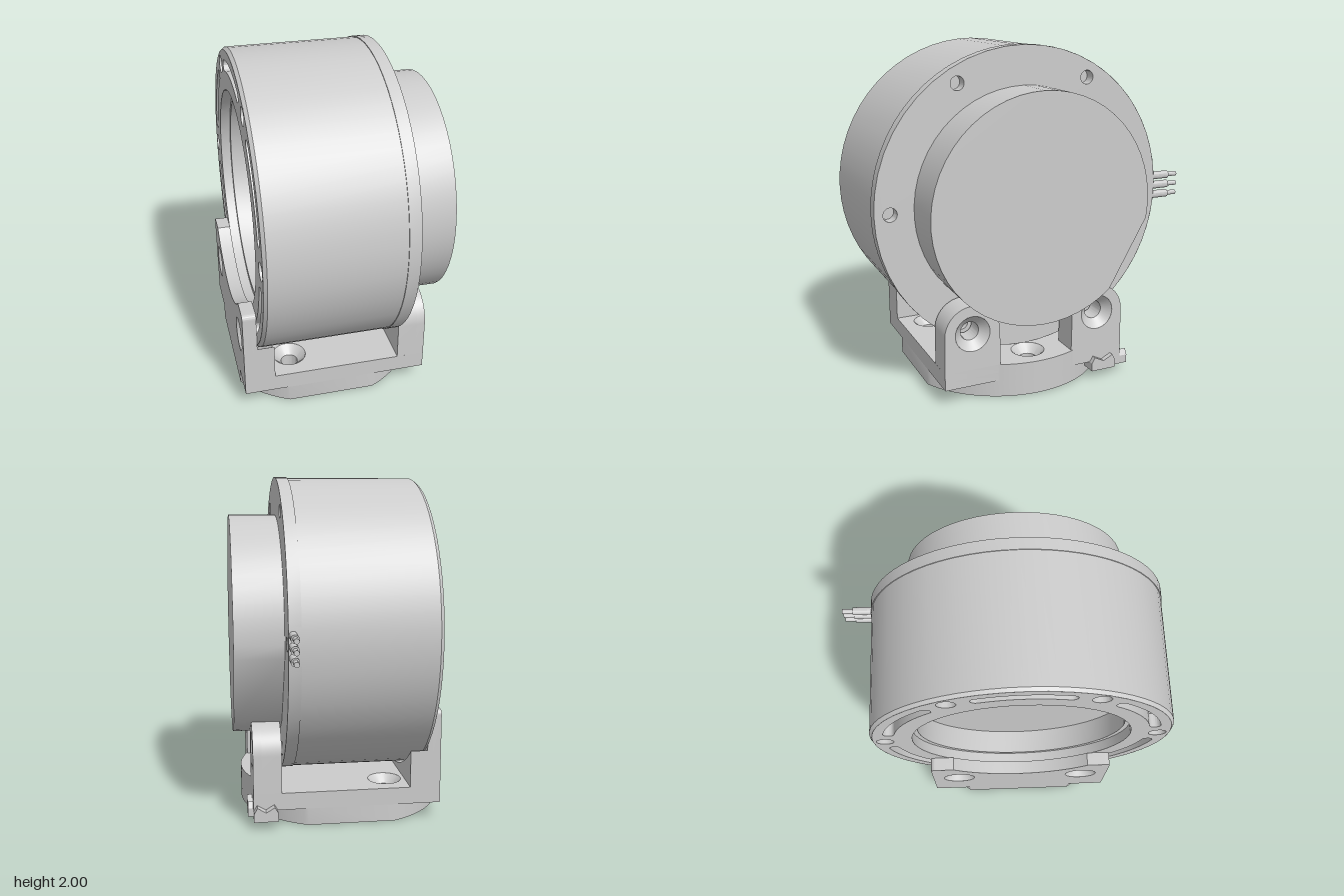
import * as THREE from 'three';
import { toCreasedNormals } from 'three/addons/utils/BufferGeometryUtils.js';

const material = new THREE.MeshStandardMaterial({ color: 0xcccccc, side: THREE.DoubleSide });
const AXIS = 1.11;            // height of the drum axis
const BOLT_R = 0.8;           // bolt circle radius
const LUG_Z = 0.4, LUG_Y = AXIS - 0.693;

function add(parent, name, geometry) {
  const mesh = new THREE.Mesh(toCreasedNormals(geometry, 0.5), material);
  mesh.name = name;
  parent.add(mesh);
  return mesh;
}

const extrude = (shape, depth) =>
  new THREE.ExtrudeGeometry(shape, { depth, bevelEnabled: false, curveSegments: 24 });

// Outline drawn in (-z, y), thickened along +x from x0
const plateX = (shape, x0, x1) => extrude(shape, x1 - x0).rotateY(Math.PI / 2).translate(x0, 0, 0);

// Outline drawn in (x, -z), thickened upwards from y0
const plateY = (shape, y0, y1) => extrude(shape, y1 - y0).rotateX(-Math.PI / 2).translate(0, y0, 0);

// Profile of [radius, x] turned about the x axis
const turnX = (profile, sides = 64) =>
  new THREE.LatheGeometry(profile.map(p => new THREE.Vector2(...p)), sides).rotateZ(-Math.PI / 2);

const circle = (x, y, r) => new THREE.Path().absarc(x, y, r, 0, Math.PI * 2, true);

function ring(outer, inner) {
  const s = new THREE.Shape().absarc(0, 0, outer, 0, Math.PI * 2, false);
  if (inner) s.holes.push(circle(0, 0, inner));
  return s;
}

// Curved slot with round ends
function slot(mid, half) {
  const r = 0.778, w = 0.032, a = mid - half, b = mid + half;
  const p = new THREE.Path();
  p.absarc(0, 0, r + w, a, b, false);
  p.absarc(r * Math.cos(b), r * Math.sin(b), w, b, b + Math.PI, false);
  p.absarc(0, 0, r - w, b, a, true);
  p.absarc(r * Math.cos(a), r * Math.sin(a), w, a + Math.PI, a + Math.PI * 2, false);
  return p;
}

function buildDrum() {
  const drum = new THREE.Group();
  drum.name = 'drum';
  drum.position.y = AXIS;

  add(drum, 'drumShell', turnX([[0.87, -0.52], [0.885, -0.5], [0.885, 0.25], [0.89, 0.25], [0.89, 0.32]]));

  // Slotted and drilled open face, and drilled flange on the other end
  const openFace = ring(0.87, 0.64), flange = ring(0.89);
  for (let i = 0; i < 6; i++) {
    const a = i * Math.PI / 3, x = BOLT_R * Math.cos(a), y = BOLT_R * Math.sin(a);
    openFace.holes.push(circle(x, y, 0.052), slot(a + Math.PI / 6, 0.32));
    flange.holes.push(circle(x, y, 0.04));
  }
  add(drum, 'openFaceRing', plateX(openFace, -0.52, -0.44));
  add(drum, 'openFaceBacking', plateX(ring(0.88, 0.64), -0.44, -0.42));
  add(drum, 'flange', plateX(flange, 0.25, 0.32));
  add(drum, 'flangeBacking', plateX(ring(0.88), 0.23, 0.25));
  add(drum, 'recess', turnX([[0.64, -0.52], [0.64, -0.46], [0.61, -0.46], [0.61, -0.32], [0, -0.32]]));

  // Round housing with one flat
  const boss = new THREE.Shape().absarc(0, 0, 0.665, -0.16, -0.885 + Math.PI * 2, false);
  add(drum, 'housing', plateX(boss, 0.32, 0.6));

  // Three stripped leads
  for (const y of [-0.06, 0, 0.06]) {
    const lead = new THREE.CylinderGeometry(0.024, 0.024, 0.16, 16).rotateX(Math.PI / 2);
    add(drum, 'leadSleeve', lead).position.set(0.295, y, -0.92);
    const core = new THREE.CylinderGeometry(0.015, 0.015, 0.09, 12).rotateX(Math.PI / 2);
    add(drum, 'leadCore', core).position.set(0.295, y, -1.02);
  }
  return drum;
}

function buildBracket() {
  const bracket = new THREE.Group();
  bracket.name = 'bracket';

  // Base foot: disc with three flats; plate: rectangle with a round bulge
  const cx = -0.075, R = 0.625;
  const a1 = Math.asin(0.57 / R), a2 = Math.PI - Math.acos(0.525 / R);
  const foot = () => {
    const s = new THREE.Shape();
    s.absarc(cx, 0, R, -a1, a1, false);
    s.absarc(cx, 0, R, Math.PI - a1, a2, false);
    s.absarc(cx, 0, R, -a2, -Math.PI + a1, false);
    return s;
  };
  const bulge = Math.acos(0.575 / R);
  const plate = () => {
    const s = new THREE.Shape();
    s.moveTo(-0.6, -0.57);
    s.lineTo(0.5, -0.57);
    s.absarc(cx, 0, R, -bulge, bulge, false);
    s.lineTo(0.5, 0.57);
    s.lineTo(-0.6, 0.57);
    return s;
  };
  const baseHoles = [0, 1, 2].map(i => i * Math.PI * 2 / 3)
    .map(a => [cx + 0.45 * Math.cos(a), 0.45 * Math.sin(a)]);
  const drilled = (shape, spots, r) => {
    for (const [x, y] of spots) shape.holes.push(circle(x, y, r));
    return shape;
  };
  add(bracket, 'baseFoot', plateY(drilled(foot(), baseHoles, 0.05), 0, 0.1));
  add(bracket, 'basePlate', plateY(drilled(plate(), baseHoles, 0.05), 0.1, 0.15));
  add(bracket, 'basePlateTop', plateY(drilled(plate(), baseHoles, 0.1), 0.15, 0.2));
  for (const [x, z] of baseHoles) {
    const cone = new THREE.CylinderGeometry(0.1, 0.05, 0.05, 32, 1, true);
    add(bracket, 'baseCountersink', cone).position.set(x, 0.175, z);
  }

  // Wall on the open side, hollowed to the drum; two layers leave a seat for it
  const wall = (cutR, top) => {
    const s = new THREE.Shape();
    const edge = top ? Math.asin((AXIS - top) / cutR) : Math.acos(0.57 / cutR);
    s.moveTo(-0.57, 0.19);
    s.lineTo(0.57, 0.19);
    if (top) {
      s.lineTo(0.57, top - 0.03);
      s.quadraticCurveTo(0.57, top, 0.54, top);
    }
    s.absarc(0, AXIS, cutR, -edge, -Math.PI + edge, true);
    if (top) {
      s.lineTo(-0.54, top);
      s.quadraticCurveTo(-0.57, top, -0.57, top - 0.03);
    }
    return s;
  };
  const lugHoles = [[-LUG_Z, LUG_Y], [LUG_Z, LUG_Y]];
  add(bracket, 'wallOuter', plateX(drilled(wall(0.62, 0.66), lugHoles, 0.1), -0.6, -0.55));
  add(bracket, 'wallInner', plateX(drilled(wall(0.62, 0.66), lugHoles, 0.055), -0.55, -0.52));
  add(bracket, 'wallSeat', plateX(wall(0.895, 0), -0.52, -0.42));

  // Round-topped lugs on the housing side
  for (const side of [-1, 1]) {
    const u = side * LUG_Z;
    const lug = r => {
      const s = new THREE.Shape();
      s.moveTo(u - 0.17, 0.19);
      s.lineTo(u + 0.17, 0.19);
      s.absarc(u, LUG_Y, 0.167, 0, Math.PI, false);
      return drilled(s, [[u, LUG_Y]], r);
    };
    add(bracket, 'lugInner', plateX(lug(0.055), 0.335, 0.45));
    add(bracket, 'lugOuter', plateX(lug(0.105), 0.45, 0.5));
    add(bracket, 'lugCountersink', turnX([[0.055, 0.45], [0.105, 0.5]], 32)).position.set(0, LUG_Y, u);
    add(bracket, 'wallCountersink', turnX([[0.1, -0.6], [0.055, -0.55]], 32)).position.set(0, LUG_Y, u);
  }

  // Small notched clip at the corner under one lug
  const notch = (a, b) => new THREE.Shape([
    [a, 0.05], [b, 0.05], [b, 0.1], [b - 0.02, 0.135], [(a + b) / 2, 0.105], [a + 0.02, 0.135], [a, 0.1],
  ].map(p => new THREE.Vector2(...p)));
  add(bracket, 'clipSide', plateX(notch(0.36, 0.52), 0.4, 0.53));
  add(bracket, 'clipEnd', extrude(notch(0.36, 0.5), 0.13).translate(0, 0, -0.62));
  return bracket;
}

export function createModel() {
  const model = new THREE.Group();
  model.name = 'bracketedDrum';
  model.add(buildDrum(), buildBracket());
  model.position.z = 0.088;
  return model;
}
